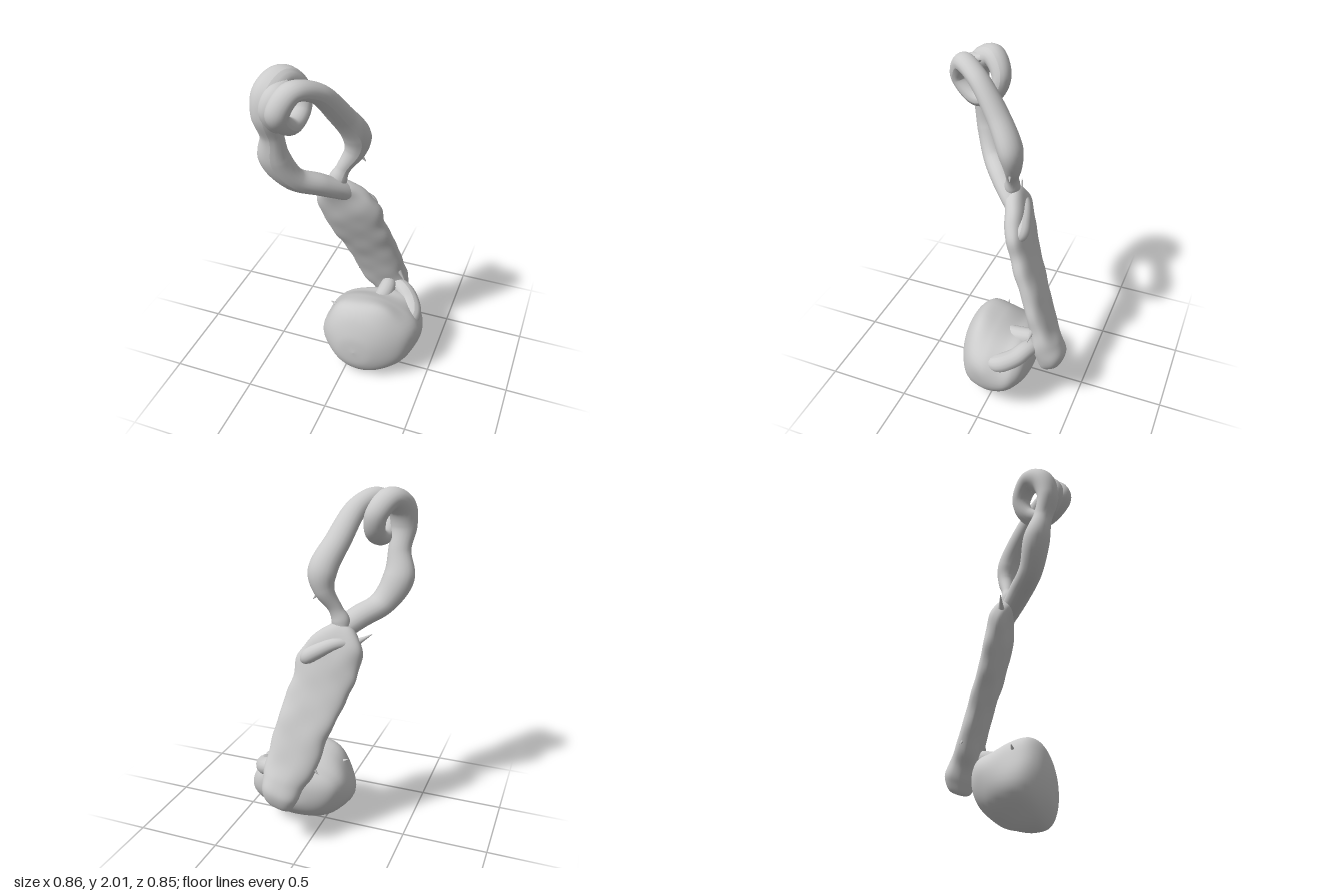
import * as THREE from 'three';

const V = (x, y, z) => new THREE.Vector3(x, y, z);
const grey = new THREE.MeshStandardMaterial({ color: 0xcccccc, side: THREE.DoubleSide });

// Gentle hand-worked unevenness
const lump = (p, f) => Math.sin(p.x * f + 1) * Math.sin(p.y * f * 1.1 + 2) * Math.sin(p.z * f * 0.9 + 0.7);

function mesh(name, geo) {
  const m = new THREE.Mesh(geo, grey);
  m.name = name;
  return m;
}

// Smooth skin over oval stations [x, y, z, halfU, halfV]; u, v and the advance are right-handed
function loft(stations, u, v, power, amount, freq, steps = 64, sides = 48) {
  const path = new THREE.CatmullRomCurve3(stations.map(s => V(s[0], s[1], s[2])), false, 'catmullrom', 0.5);
  const size = new THREE.CatmullRomCurve3(stations.map(s => V(s[3], s[4], 0)), false, 'catmullrom', 0.5);
  const pos = [], index = [];
  const bend = t => Math.sign(t) * Math.abs(t) ** power;
  for (let i = 0; i <= steps; i++) {
    const c = path.getPoint(i / steps), s = size.getPoint(i / steps);
    for (let j = 0; j < sides; j++) {
      const a = j / sides * Math.PI * 2;
      const off = V(0, 0, 0)
        .addScaledVector(u, Math.max(0, s.x) * bend(Math.cos(a)))
        .addScaledVector(v, Math.max(0, s.y) * bend(Math.sin(a)));
      const p = c.clone().add(off);
      p.addScaledVector(off, amount * lump(p, freq));
      pos.push(p.x, p.y, p.z);
      if (i < steps) {
        const k = i * sides, n = (j + 1) % sides;
        index.push(k + j, k + n, k + sides + j, k + n, k + sides + n, k + sides + j);
      }
    }
  }
  const g = new THREE.BufferGeometry();
  g.setAttribute('position', new THREE.Float32BufferAttribute(pos, 3));
  g.setIndex(index);
  g.computeVertexNormals();
  return g;
}

// Tube whose radius changes along points [x, y, z, r]; widen stretches its section in x
function cord(points, widen = 1, steps = 50, sides = 16) {
  const curve = new THREE.CatmullRomCurve3(points.map(p => V(p[0], p[1], p[2])));
  const radii = new THREE.CatmullRomCurve3(points.map(p => V(p[3], 0, 0)), false, 'catmullrom', 0.5);
  const g = new THREE.TubeGeometry(curve, steps, 1, sides, false);
  const pos = g.attributes.position, p = V(0, 0, 0);
  for (let i = 0; i <= steps; i++) {
    const c = curve.getPointAt(i / steps);
    const r = Math.max(0.001, radii.getPoint(curve.getUtoTmapping(i / steps)).x);
    for (let j = 0; j <= sides; j++) {
      const k = i * (sides + 1) + j;
      p.fromBufferAttribute(pos, k).sub(c).multiplyScalar(r);
      p.x *= widen;
      p.add(c);
      pos.setXYZ(k, p.x, p.y, p.z);
    }
  }
  g.computeVertexNormals();
  return g;
}

export function createModel() {
  const model = new THREE.Group();
  model.name = 'keyFob';

  // Looped cord: up one side, one full coil at the top, down the other side
  model.add(mesh('cordLoop', cord([
    [0.0, 1.13, -0.05, 0.01],
    [-0.05, 1.2, -0.01, 0.05],
    [-0.16, 1.29, 0.1, 0.062],
    [-0.27, 1.36, 0.195, 0.064],
    [-0.345, 1.5, 0.25, 0.072],
    [-0.335, 1.65, 0.285, 0.052],
    [-0.345, 1.78, 0.32, 0.06],
    [-0.335, 1.89, 0.29, 0.066],
    [-0.295, 1.94, 0.2, 0.06],
    [-0.24, 1.86, 0.135, 0.052],
    [-0.225, 1.76, 0.17, 0.047],
    [-0.235, 1.72, 0.28, 0.047],
    [-0.25, 1.82, 0.383, 0.05],
    [-0.195, 1.925, 0.335, 0.052],
    [-0.115, 1.89, 0.22, 0.052],
    [-0.045, 1.72, 0.075, 0.06],
    [0.01, 1.57, -0.015, 0.066],
    [0.0, 1.47, -0.025, 0.05],
    [-0.06, 1.36, 0.0, 0.034],
    [-0.09, 1.28, 0.01, 0.042],
    [-0.08, 1.15, -0.03, 0.01],
  ], 1.25, 260, 20)));

  // Web that fuses the front of the coil to the rising strand
  model.add(mesh('coilWeb', cord([
    [-0.27, 1.69, 0.29, 0.01],
    [-0.29, 1.73, 0.325, 0.035],
    [-0.3, 1.82, 0.36, 0.042],
    [-0.28, 1.9, 0.33, 0.042],
    [-0.26, 1.94, 0.25, 0.02],
  ], 1.4)));

  // Flat strap, leaning back and to one side towards its foot
  const d = V(-0.25, 0.9, 0.37).normalize();
  const v = V(0, 0, 0).crossVectors(d, V(0.95, 0.27, -0.02)).normalize();
  const u = V(0, 0, 0).crossVectors(v, d);
  model.add(mesh('strap', loft([
    [0.155, 0.24, -0.345, 0, 0],
    [0.155, 0.25, -0.345, 0.07, 0.055],
    [0.15, 0.32, -0.34, 0.105, 0.085],
    [0.14, 0.4, -0.31, 0.125, 0.08],
    [0.105, 0.5, -0.267, 0.145, 0.065],
    [0.06, 0.7, -0.193, 0.155, 0.06],
    [0.0, 0.9, -0.11, 0.17, 0.06],
    [-0.04, 1.05, -0.06, 0.175, 0.065],
    [-0.09, 1.17, -0.025, 0.145, 0.06],
    [-0.11, 1.25, 0.01, 0.07, 0.045],
    [-0.11, 1.28, 0.02, 0, 0],
  ], u, v, 0.8, 0.05, 26, 90)));

  // Fold of cloth across the back of the strap top
  model.add(mesh('strapFold', cord([
    [-0.2, 1.17, -0.02, 0.015],
    [-0.1, 1.18, -0.06, 0.035],
    [0.01, 1.13, -0.09, 0.045],
    [0.07, 1.09, -0.1, 0.042],
    [0.1, 1.04, -0.08, 0.01],
  ])));

  // Rounded pouch, its sections running from back to front
  model.add(mesh('pouch', loft([
    [0.17, 0.28, -0.235, 0, 0],
    [0.17, 0.28, -0.225, 0.15, 0.09],
    [0.15, 0.268, -0.175, 0.245, 0.157],
    [0.135, 0.245, -0.1, 0.285, 0.198],
    [0.13, 0.25, 0.0, 0.297, 0.235],
    [0.115, 0.255, 0.1, 0.27, 0.252],
    [0.1, 0.232, 0.17, 0.205, 0.212],
    [0.085, 0.21, 0.215, 0.11, 0.115],
    [0.08, 0.205, 0.227, 0, 0],
  ], V(1, 0, 0), V(0, 1, 0), 0.95, 0.07, 14)));

  // Raised rims joining the pouch to the strap foot
  model.add(mesh('outerRim', cord([
    [0.15, 0.41, -0.28, 0.03],
    [0.25, 0.42, -0.22, 0.05],
    [0.315, 0.385, -0.165, 0.055],
    [0.355, 0.345, -0.07, 0.055],
    [0.32, 0.33, 0.04, 0.02],
  ])));
  model.add(mesh('innerRim', cord([
    [0.15, 0.45, -0.27, 0.03],
    [0.16, 0.43, -0.2, 0.05],
    [0.15, 0.41, -0.1, 0.05],
    [0.12, 0.43, 0.0, 0.02],
  ])));

  // Frayed threads
  const threads = [
    [[0.08, 1.06, -0.06], [0.135, 1.06, -0.06]],
    [[-0.19, 1.18, 0.0], [-0.27, 1.23, 0.02]],
    [[0.0, 0.52, -0.26], [-0.06, 0.46, -0.27]],
    [[0.21, 0.55, -0.24], [0.26, 0.48, -0.22]],
    [[-0.08, 0.38, 0.04], [-0.13, 0.41, 0.04]],
    [[0.02, 1.46, -0.02], [0.06, 1.41, -0.03]],
  ];
  for (const [a, b] of threads) {
    const mid = a.map((t, i) => (t + b[i]) / 2);
    model.add(mesh('thread', cord([[...a, 0.02], [...mid, 0.01], [...b, 0.002]], 1, 10, 8)));
  }
  return model;
}
